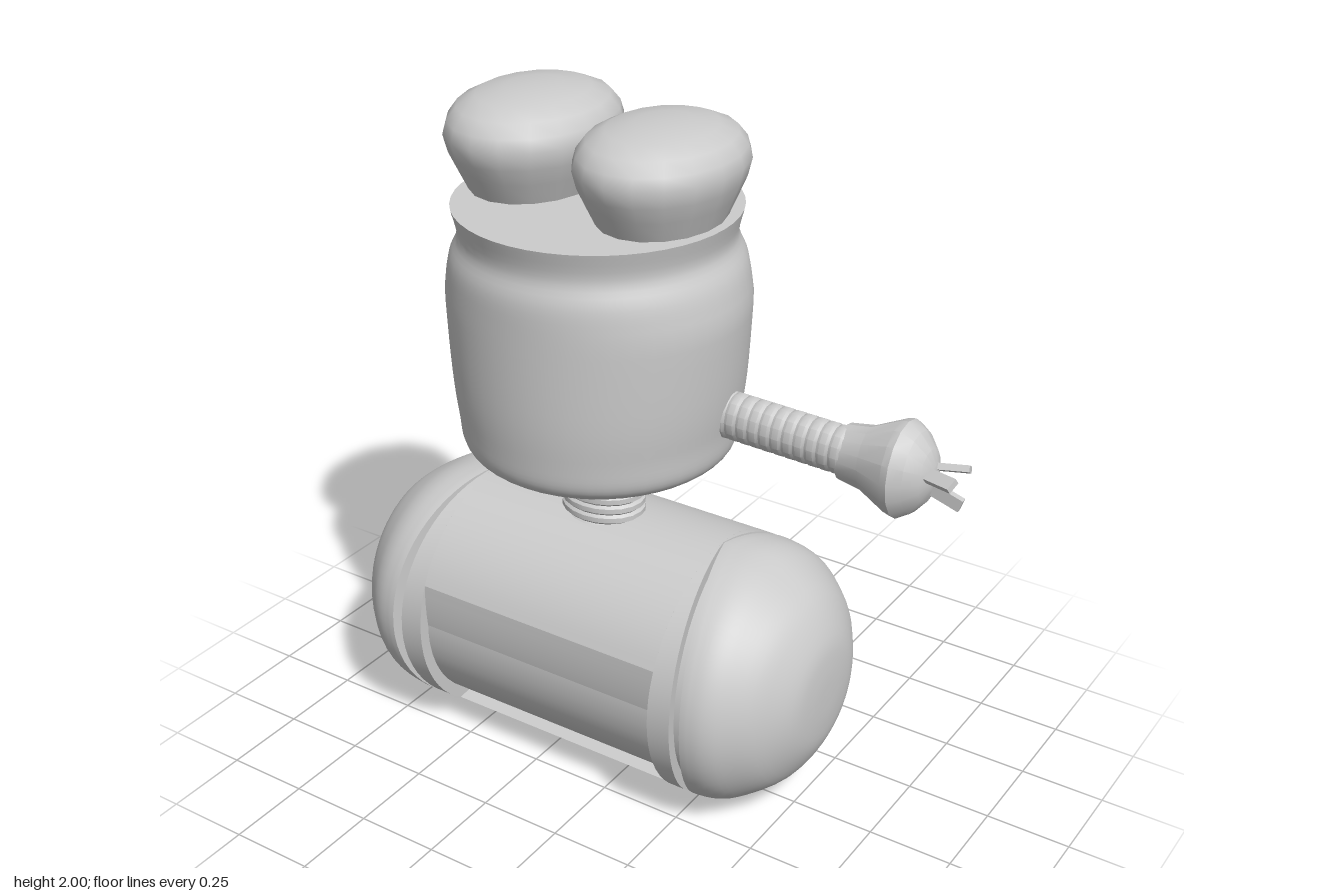
import * as THREE from 'three';
import { toCreasedNormals } from 'three/addons/utils/BufferGeometryUtils.js';

const R = 0.39; // drum radius
const V = (x, y) => new THREE.Vector2(x, y);

export function createModel() {
  const model = new THREE.Group();
  const material = new THREE.MeshStandardMaterial({ color: 0xcccccc });

  const add = (name, geo, parent = model) => {
    const mesh = new THREE.Mesh(geo, material);
    mesh.name = name;
    parent.add(mesh);
    return mesh;
  };
  const lathe = (pairs, sides) => new THREE.LatheGeometry(pairs.map(([r, y]) => V(r, y)), sides);
  // smooth a coarse [radius, height] profile
  const smooth = (pairs, n) => new THREE.SplineCurve(pairs.map(([r, y]) => V(r, y)))
    .getPoints(n).map(p => [Math.max(p.x, 0), p.y]);
  // move each vertex by a rule
  const warp = (geo, rule) => {
    const p = geo.attributes.position, v = new THREE.Vector3();
    for (let i = 0; i < p.count; i++) {
      rule(v.fromBufferAttribute(p, i));
      p.setXYZ(i, v.x, v.y, v.z);
    }
    return geo;
  };
  // corrugated tube profile
  const ridged = (r, length, count, depth) => {
    const out = [[0, 0]];
    for (let i = 0; i < count; i++) {
      const y = (i / count) * length, s = length / count;
      out.push([r - depth, y], [r, y + s * 0.25], [r, y + s * 0.75]);
    }
    out.push([r - depth, length], [0, length]);
    return out;
  };

  // ---- Base: lying drum with rounded caps, parted by slits that close at top and bottom
  const base = new THREE.Group();
  base.name = 'base';
  base.position.set(-0.175, R, -0.025);
  model.add(base);

  // middle of the drum, its cross-section cut by the front window
  const deg = Math.PI / 180, section = [];
  const point = (r, a) => section.push(V(-r * Math.cos(a * deg), r * Math.sin(a * deg)));
  for (let i = 0; i <= 56; i++) point(R, 23.5 + (281.4 * i) / 56);
  for (let i = 0; i < 18; i++) {
    const t = i / 18;
    point(0.335 + 0.055 * t ** 4, -67 + 90.5 * t);
  }
  const middle = new THREE.ExtrudeGeometry(new THREE.Shape(section), { depth: 0.8, bevelEnabled: false });
  middle.translate(0, 0, -0.4).rotateY(Math.PI / 2);
  add('drumWithWindow', toCreasedNormals(middle, 0.4), base);

  const core = new THREE.CylinderGeometry(0.355, 0.355, 0.98, 48).rotateZ(Math.PI / 2);
  add('slitFloor', core, base);

  const capCurve = smooth([[R, 0.425], [0.38, 0.5], [0.35, 0.575], [0.28, 0.675],
    [0.18, 0.735], [0.09, 0.752], [0, 0.755]], 24);
  for (const side of [-1, 1]) {
    const ring = lathe([[0.29, 0.4], [R, 0.4], [R, 0.402], [0.29, 0.402]], 64);
    warp(ring, v => { if (v.y > 0.401) v.y += (0.07 * Math.abs(v.z)) / R; });
    ring.rotateZ(-side * Math.PI / 2);
    add(side > 0 ? 'leftDrumEdge' : 'rightDrumEdge', toCreasedNormals(ring, 0.6), base);

    const cap = lathe([[0.29, 0.405], [R, 0.405], ...capCurve], 64);
    warp(cap, v => {
      const w = THREE.MathUtils.clamp((0.7 - v.y) / 0.295, 0, 1);
      v.y += (w * 0.1 * Math.abs(v.z)) / R;
    });
    cap.rotateZ(-side * Math.PI / 2);
    add(side > 0 ? 'leftCap' : 'rightCap', toCreasedNormals(cap, 0.6), base);
  }

  // ---- Neck
  const neck = lathe(ridged(0.128, 0.24, 8, 0.009), 20).scale(1, 1, 0.84);
  add('neck', toCreasedNormals(neck, 0.5)).position.set(-0.178, 0.74, -0.023);

  // ---- Head: tub with a pinched collar, wider across its shoulders
  const wall = smooth([[0.1, 0.95], [0.2, 0.962], [0.3, 0.99], [0.355, 1.015], [0.385, 1.05],
    [0.395, 1.12], [0.403, 1.25], [0.401, 1.48], [0.397, 1.58], [0.378, 1.65], [0.394, 1.73]], 44);
  const head = lathe([[0, 0.95], ...wall, [0, 1.73]], 48);
  warp(head, v => {
    const d = v.y - 1.48;
    v.x *= 1 + 0.07 * Math.max(0, 1 - Math.abs(d) / (d > 0 ? 0.17 : 0.35));
  });
  add('head', toCreasedNormals(head, 0.6)).position.set(-0.163, 0, 0.01);

  // ---- Eyes: flat-bottomed domes resting on the head
  const eyeProfile = [[0, 0], [0.75, 0], [0.86, 0.06], [0.95, 0.11], [1, 0.16], [0.96, 0.195],
    [0.85, 0.23], [0.64, 0.254], [0.32, 0.267], [0, 0.27]];
  const eye = (name, x, z, rx, rz, sy) => {
    const geo = lathe(eyeProfile, 18).scale(rx, sy, rz);
    add(name, toCreasedNormals(geo, 0.9)).position.set(x, 1.73, z);
  };
  eye('rightEye', -0.395, -0.03, 0.225, 0.282, 1);
  eye('leftEye', 0.042, 0.01, 0.218, 0.272, 0.96);

  // ---- Arm, hand and prongs on the left side
  const arm = lathe(ridged(0.07, 0.42, 12, 0.004), 14).scale(1, 1, 0.83).rotateZ(-Math.PI / 2 - 0.025);
  add('arm', toCreasedNormals(arm, 0.5)).position.set(0.18, 1.186, -0.029);

  const hand = lathe([[0, 0], [0.08, 0], [0.092, 0.07], [0.134, 0.155], [0.138, 0.175],
    [0.115, 0.21], [0.075, 0.243], [0.035, 0.258], [0, 0.262]], 16);
  hand.scale(1, 1, 0.85).rotateZ(-Math.PI / 2);
  add('hand', toCreasedNormals(hand, 0.4)).position.set(0.585, 1.167, -0.042);

  const prongs = [[1.183, -0.06, 1.192, -0.088], [1.183, -0.02, 1.192, 0.018], [1.143, -0.042, 1.105, -0.048]];
  prongs.forEach(([y0, z0, y1, z1], i) => {
    const start = new THREE.Vector3(0.81, y0, z0), end = new THREE.Vector3(0.92, y1, z1);
    const blade = i < 2 ? [0.036, 0.018] : [0.018, 0.036];
    const geo = new THREE.BoxGeometry(blade[1], blade[0], start.distanceTo(end));
    const prong = add('prong' + (i + 1), geo);
    prong.position.copy(start).lerp(end, 0.5);
    prong.lookAt(end);
    if (i < 2) prong.rotateZ(i ? -1 : 1);
    else prong.rotateZ(Math.PI / 2);
  });

  return model;
}
